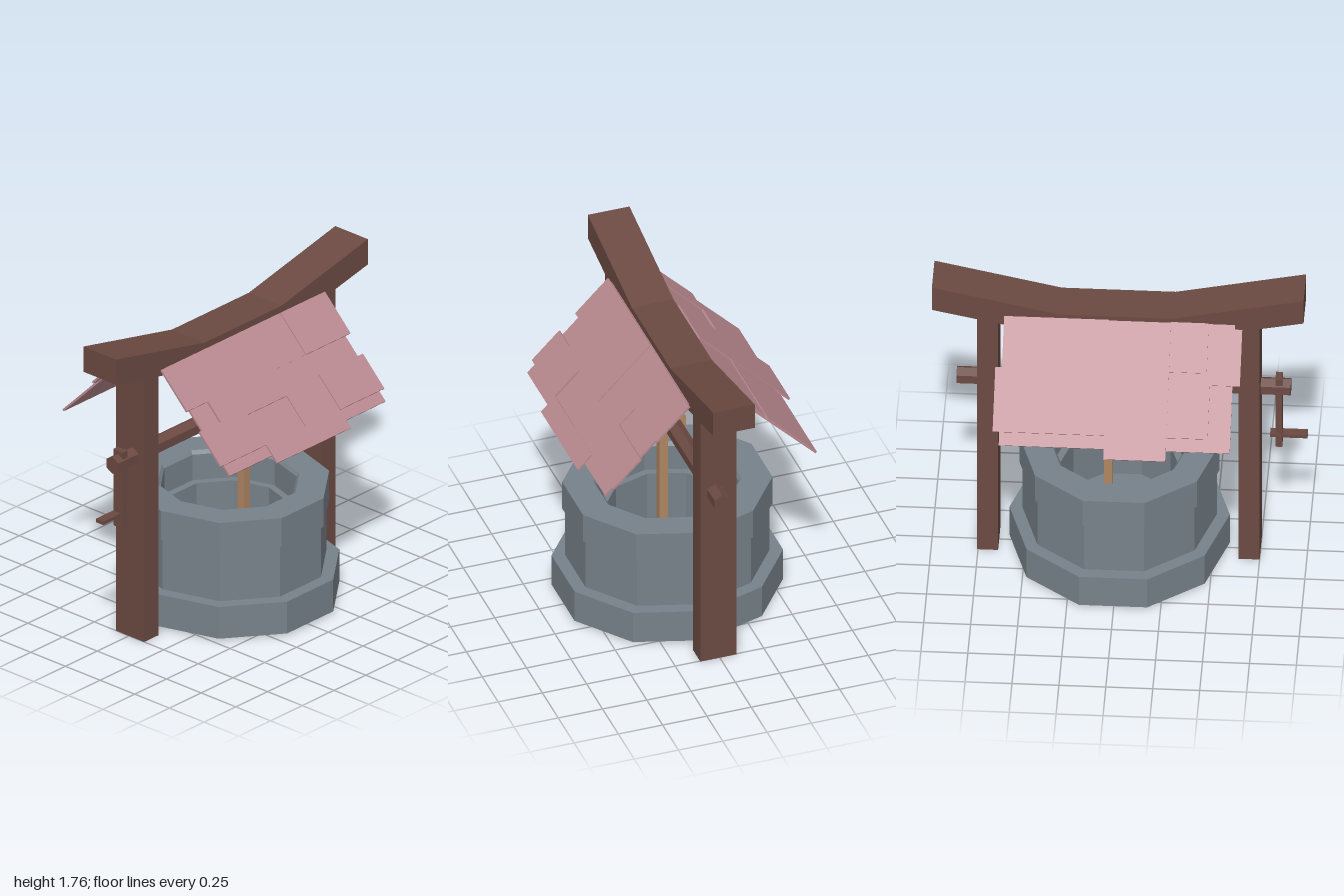
import * as THREE from 'three';

const material = (color) => new THREE.MeshStandardMaterial({ color, flatShading: true });

export function createModel() {
  const group = new THREE.Group();
  const wood = material(0x6b4a42);
  const stone = material(0x77828a);
  const rope = material(0xb08663);
  const roof = material(0xb98a90);

  const add = (name, geometry, mat, x = 0, y = 0, z = 0, parent = group) => {
    const mesh = new THREE.Mesh(geometry, mat);
    mesh.name = name;
    mesh.position.set(x, y, z);
    parent.add(mesh);
    return mesh;
  };
  // Box given by its extents on each axis
  const box = (name, mat, [x0, x1], [y0, y1], [z0, z1], parent) =>
    add(name, new THREE.BoxGeometry(x1 - x0, y1 - y0, z1 - z0), mat,
      (x0 + x1) / 2, (y0 + y1) / 2, (z0 + z1) / 2, parent);

  // Ten-sided stone well: base, wall, rim, stepped shaft and floor
  const profile = [
    [0, 0.012], [0.587, 0.012], [0.587, 0.2], [0.518, 0.2], [0.518, 0.5],
    [0.533, 0.5], [0.533, 0.67], [0.375, 0.67], [0.36, 0.65], [0.36, 0.5],
    [0.32, 0.5], [0.32, 0.2], [0, 0.2],
  ].map(([r, y]) => new THREE.Vector2(r, y));
  const well = add('stoneWell', new THREE.LatheGeometry(profile, 10, Math.PI / 10), stone, 0.003, 0, 0.0275);
  well.scale.z = 1.055;

  // Posts
  box('rightPost', wood, [-0.75, -0.638], [0, 1.56], [-0.095, 0.11]);
  box('leftPost', wood, [0.643, 0.755], [0, 1.56], [-0.095, 0.11]);

  // Ridge beam with upswept ends
  const beam = new THREE.Shape([
    [-0.985, 1.61], [-0.29, 1.465], [0.315, 1.465], [0.995, 1.61],
    [0.995, 1.76], [0.315, 1.61], [-0.29, 1.61], [-0.985, 1.76],
  ].map(([x, y]) => new THREE.Vector2(x, y)));
  add('ridgeBeam', new THREE.ExtrudeGeometry(beam, { depth: 0.235, bevelEnabled: false }), wood, 0, 0, -0.112);

  // Hexagonal winding axle and wound rope
  const hexBar = (name, mat, r, x0, x1) => {
    const bar = add(name, new THREE.CylinderGeometry(r, r, x1 - x0, 6), mat, (x0 + x1) / 2, 1.075, 0.027);
    bar.rotation.z = Math.PI / 2;
    // a corner of the hexagon points up
    bar.geometry.rotateY(Math.PI / 2);
    return bar;
  };
  hexBar('axle', wood, 0.05, -0.91, 0.87);
  hexBar('ropeCoil', rope, 0.085, -0.15, 0.09);
  box('hangingRope', rope, [0.042, 0.088], [0.2, 1.075], [0.055, 0.103]);

  // Crank
  box('crankArm', wood, [-0.865, -0.828], [0.695, 1.145], [-0.008, 0.062]);
  box('crankHandle', wood, [-1, -0.8], [0.76, 0.78], [-0.01, 0.045]);

  // Roof slopes: boards as [x0, x1, near z, far z, lift] on a 45 degree plane
  const slopes = {
    front: [
      [-0.61, 0.615, 0.115, 0.6, 0],
      [-0.64, -0.475, 0.125, 0.31, 0.012], [-0.475, 0.03, 0.125, 0.42, 0.012],
      [0.03, 0.3, 0.125, 0.31, 0.008], [0.295, 0.645, 0.125, 0.31, 0.014],
      [-0.64, -0.28, 0.4, 0.555, 0.012], [0.03, 0.3, 0.3, 0.6, 0.006],
      [0.3, 0.645, 0.4, 0.555, 0.012], [-0.28, 0.3, 0.555, 0.635, 0.008],
    ],
    back: [
      [-0.62, 0.61, 0.11, 0.6, 0],
      [-0.66, -0.5, 0.13, 0.345, 0.008], [-0.48, -0.28, 0.11, 0.3, 0.008],
      [-0.5, -0.28, 0.345, 0.55, 0.012], [-0.28, 0.05, 0.13, 0.64, 0.014],
      [0.05, 0.61, 0.11, 0.305, 0.006], [0.05, 0.645, 0.305, 0.55, 0.012],
    ],
  };
  for (const [side, boards] of Object.entries(slopes)) {
    const slope = new THREE.Group();
    slope.name = side + 'RoofSlope';
    // local z runs down the slope, local y points away from it
    slope.position.y = 1.695;
    slope.rotation.set(Math.PI / 4, 0, 0);
    const pivot = new THREE.Group();
    pivot.name = side + 'Roof';
    pivot.add(slope);
    group.add(pivot);
    const back = side === 'back';
    if (back) pivot.rotation.y = Math.PI;
    for (const [x0, x1, z0, z1, lift] of boards) {
      const xs = back ? [-x1, -x0] : [x0, x1];
      box('roofBoard', roof, xs, [lift - 0.012, lift], [z0 * Math.SQRT2, z1 * Math.SQRT2], slope);
    }
  }
  return group;
}
